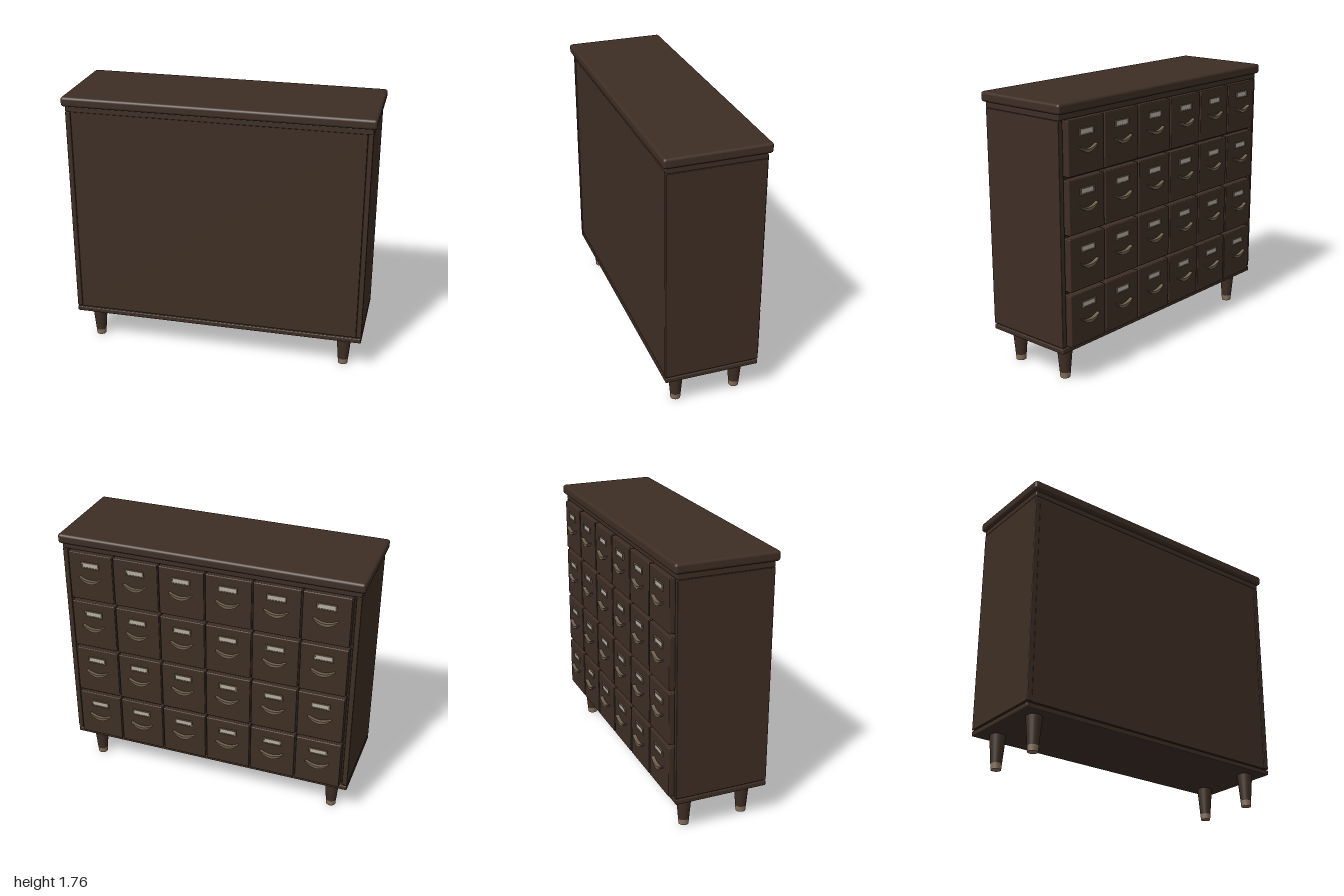
import * as THREE from 'three';
import { RoundedBoxGeometry } from 'three/addons/geometries/RoundedBoxGeometry.js';

export function createModel() {
  const model = new THREE.Group();
  model.name = 'drawerCabinet';

  const mat = (name, color) => {
    const m = new THREE.MeshStandardMaterial({ color });
    m.name = name;
    return m;
  };
  const wood = mat('darkWood', 0x3e2e24);
  const shade = mat('innerWood', 0x2a211b);
  const bronze = mat('agedBronze', 0x6e604c);
  const brass = mat('paleBrass', 0x86705a);
  const paper = mat('labelCard', 0xb4aea2);

  const add = (parent, name, geometry, material, x = 0, y = 0, z = 0) => {
    const mesh = new THREE.Mesh(geometry, material);
    mesh.name = name;
    mesh.position.set(x, y, z);
    parent.add(mesh);
    return mesh;
  };
  // Box given by its limits on each axis; a radius rounds its edges
  const box = (parent, name, material, [x0, x1], [y0, y1], [z0, z1], r = 0) => {
    const size = [x1 - x0, y1 - y0, z1 - z0];
    const geometry = r ? new RoundedBoxGeometry(...size, 3, r) : new THREE.BoxGeometry(...size);
    return add(parent, name, geometry, material, (x0 + x1) / 2, (y0 + y1) / 2, (z0 + z1) / 2);
  };

  // Carcass
  const depth = [-0.294, 0.323];
  box(model, 'topSlab', wood, [-1, 1], [1.7, 1.764], [-0.318, 0.346], 0.018);
  box(model, 'topRail', wood, [-0.98, 0.98], [1.662, 1.7], depth, 0.006);
  box(model, 'base', wood, [-0.98, 0.98], [0.22, 0.252], depth, 0.006);
  for (const s of [-1, 1]) {
    box(model, 'sidePanel', wood, s < 0 ? [-0.98, -0.946] : [0.946, 0.98], [0.26, 1.662], depth, 0.004);
  }
  box(model, 'plainPanel', wood, [-0.944, 0.944], [0.26, 1.662], [0.295, 0.319]);
  box(model, 'innerCore', shade, [-0.946, 0.946], [0.26, 1.662], [-0.27, 0.295]);

  // Shared drawer parts; each drawer is built facing +z, then turned to the rear
  const drawerFront = new RoundedBoxGeometry(0.302, 0.336, 0.06, 2, 0.006);
  const crescent = new THREE.Shape();
  crescent.moveTo(-0.078, 0.021);
  crescent.quadraticCurveTo(0, -0.063, 0.078, 0.021);
  crescent.lineTo(0.07, 0.021);
  crescent.quadraticCurveTo(0, -0.022, -0.07, 0.021);
  crescent.closePath();
  const pull = new THREE.ExtrudeGeometry(crescent, {
    depth: 0.024, bevelEnabled: false, curveSegments: 12,
  });
  const frameShape = new THREE.Shape();
  const rect = (path, w, h) => {
    path.moveTo(-w, -h);
    path.lineTo(w, -h);
    path.lineTo(w, h);
    path.lineTo(-w, h);
    path.closePath();
    return path;
  };
  rect(frameShape, 0.062, 0.022);
  frameShape.holes.push(rect(new THREE.Path(), 0.053, 0.014));
  const labelFrame = new THREE.ExtrudeGeometry(frameShape, { depth: 0.008, bevelEnabled: false });
  const labelCard = new THREE.BoxGeometry(0.106, 0.028, 0.004);

  // Four rows of six drawers
  for (let row = 0; row < 4; row++) {
    for (let col = 0; col < 6; col++) {
      const drawer = new THREE.Group();
      drawer.name = 'drawer';
      add(drawer, 'drawerFront', drawerFront, wood, 0, 0, -0.03);
      add(drawer, 'pull', pull, bronze, 0, -0.017, 0);
      add(drawer, 'labelFrame', labelFrame, bronze, 0, 0.087, 0);
      add(drawer, 'labelCard', labelCard, paper, 0, 0.087, 0.002);
      drawer.position.set((col - 2.5) * 0.3115, 0.423 + row * 0.3565, -0.321);
      drawer.rotation.y = Math.PI;
      model.add(drawer);
    }
  }

  // Tapered legs with metal tips
  const legGeometry = new THREE.CylinderGeometry(0.051, 0.035, 0.182, 24);
  const tipGeometry = new THREE.CylinderGeometry(0.035, 0.032, 0.038, 24);
  for (const x of [-0.858, 0.858]) {
    for (const z of [-0.187, 0.215]) {
      const leg = new THREE.Group();
      leg.name = 'leg';
      add(leg, 'legShaft', legGeometry, wood, 0, 0.129, 0);
      add(leg, 'legTip', tipGeometry, brass, 0, 0.019, 0);
      leg.position.set(x, 0, z);
      model.add(leg);
    }
  }
  return model;
}
